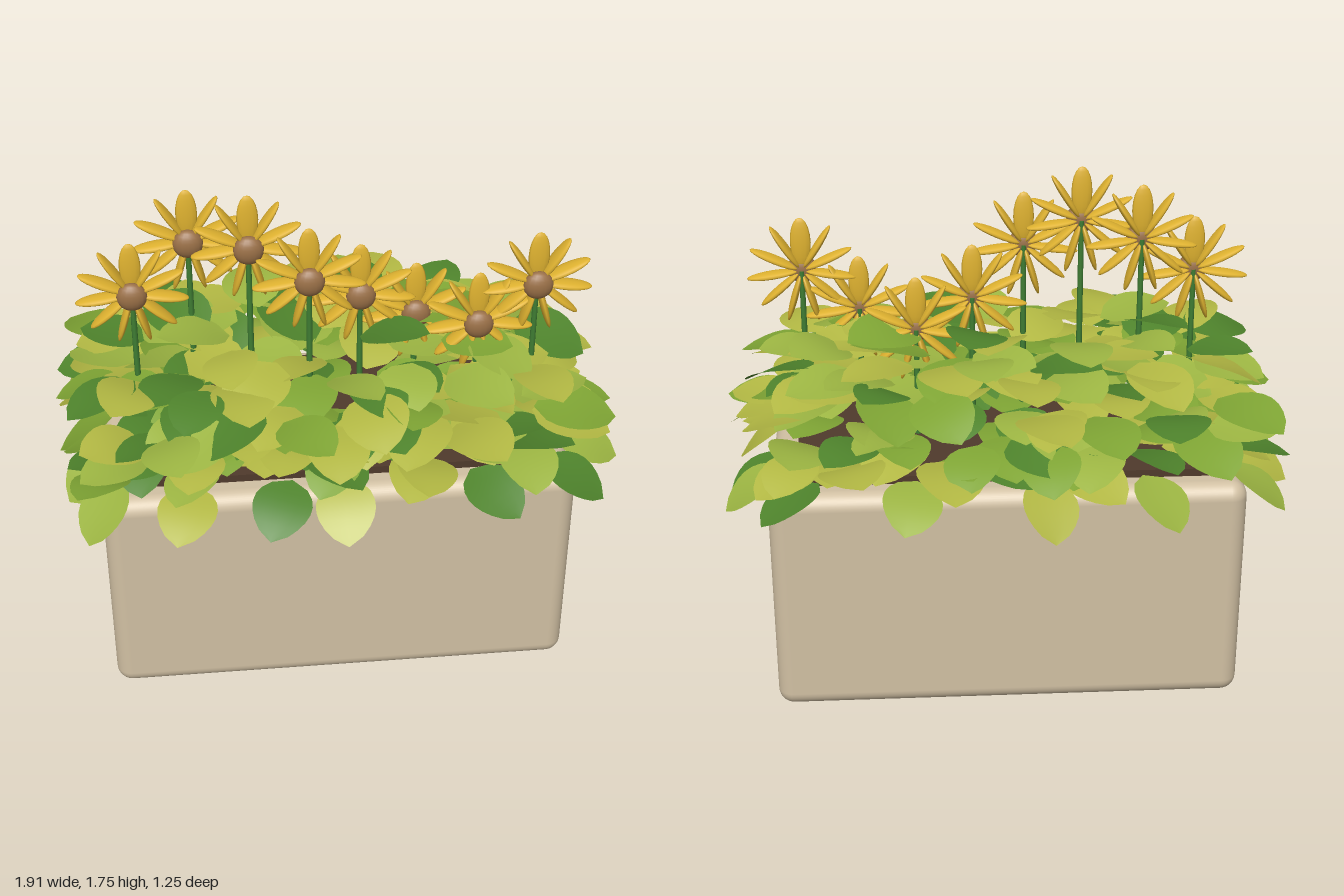
import * as THREE from 'three';
import { RoundedBoxGeometry } from 'three/addons/geometries/RoundedBoxGeometry.js';

const mat = (color, side = THREE.FrontSide) => new THREE.MeshStandardMaterial({ color, side });

function mesh(name, geometry, material, x = 0, y = 0, z = 0) {
  const m = new THREE.Mesh(geometry, material);
  m.name = name;
  m.position.set(x, y, z);
  return m;
}

function seeded(seed) {
  return () => {
    seed = (seed * 1664525 + 1013904223) % 4294967296;
    return seed / 4294967296;
  };
}

// Broad pointed leaf, growing along +z from its base, with a shallow fold and a drooping tip
function leafGeometry() {
  const g = new THREE.PlaneGeometry(2, 1, 4, 8);
  const p = g.attributes.position;
  for (let i = 0; i < p.count; i++) {
    const t = 0.5 - p.getY(i);
    const s = p.getX(i);
    const halfWidth = 0.41 * Math.pow(Math.sin(Math.PI * Math.pow(t, 0.88)), 0.65) || 0;
    p.setXYZ(i, s * halfWidth, 0.07 * Math.sin(Math.PI * t) + 0.05 * s * s * halfWidth, t);
  }
  g.computeVertexNormals();
  return g;
}

// Flower facing +z: eleven petals, the upright one turned flat to the front
function createFlower(parts) {
  const flower = new THREE.Group();
  flower.name = 'flower';
  const count = 11;
  for (let i = 0; i < count; i++) {
    const spoke = new THREE.Group();
    spoke.name = 'petalSpoke';
    spoke.rotation.z = (i / count) * Math.PI * 2;
    const petal = mesh('petal', parts.petalGeo, parts.petalMat, 0, 0.1, 0);
    if (i === 0) petal.rotation.y = Math.PI / 2;
    spoke.add(petal);
    flower.add(spoke);
  }
  flower.add(mesh('flowerCentre', parts.centreGeo, parts.centreMat, 0, 0, 0.02));
  return flower;
}

export function createModel() {
  const model = new THREE.Group();
  model.name = 'flowerPlanter';

  // Rounded planter with a soil slab on top
  model.add(mesh('planterBox', new RoundedBoxGeometry(1.58, 0.81, 0.86, 5, 0.055), mat(0xd1c0a3), 0.01, 0.405, -0.02));
  model.add(mesh('soil', new THREE.BoxGeometry(1.4, 0.06, 0.68), mat(0x503a2c), 0.01, 0.807, -0.02));

  // Foliage: leaves spread over the soil in a low mound, pointing outwards
  const rnd = seeded(41);
  const leafGeo = leafGeometry();
  const leafMats = [0x4f842c, 0x7fa534, 0x9cb542, 0xb2b843].map(c => mat(c, THREE.DoubleSide));
  const foliage = new THREE.Group();
  foliage.name = 'foliage';
  const addLeaf = (x, y, z, yaw, tilt, length) => {
    const leaf = mesh('leaf', leafGeo, leafMats[Math.floor(rnd() * leafMats.length)], x, y, z);
    leaf.rotation.set(tilt, yaw, (rnd() - 0.5) * 0.5, 'YXZ');
    leaf.scale.setScalar(length);
    foliage.add(leaf);
  };
  const nx = 20, nz = 11;
  for (let i = 0; i < nx; i++) {
    for (let j = 0; j < nz; j++) {
      const u = ((i + rnd()) / nx) * 2 - 1;
      const v = ((j + rnd()) / nz) * 2 - 1;
      const height = 0.36 * (1 - 0.4 * v * v - 0.3 * u ** 4);
      const yaw = Math.atan2(u * 0.9, v) + (rnd() - 0.5) * 1.8;
      addLeaf(u * 0.72, 0.87 + height * rnd(), v * 0.38, yaw, (rnd() - 0.5) * 0.6 + 0.05, 0.22 + rnd() * 0.06);
    }
  }
  // Drooping leaves around the rim
  for (let i = 0; i < 18; i++) {
    const a = ((i + rnd() * 0.6) / 18) * Math.PI * 2;
    const x = 0.01 + 0.74 * Math.max(-1, Math.min(1, Math.sin(a) * 1.3));
    const z = -0.02 + 0.4 * Math.max(-1, Math.min(1, Math.cos(a) * 1.3));
    addLeaf(x, 0.85, z, a + (rnd() - 0.5) * 0.6, 0.3 + rnd() * 0.5, 0.24);
  }
  model.add(foliage);

  // Row of flowers on straight stems
  const parts = {
    petalGeo: new THREE.SphereGeometry(1, 12, 10).scale(0.012, 0.087, 0.035),
    petalMat: mat(0xe0b330),
    centreGeo: new THREE.SphereGeometry(1, 16, 12).scale(0.05, 0.05, 0.03),
    centreMat: mat(0x9a7047),
  };
  const stemMat = mat(0x3f7d33);
  const heads = [
    [-0.64, 1.39, 0.04], [-0.45, 1.53, -0.04], [-0.26, 1.56, 0.07], [-0.07, 1.46, 0.12],
    [0.11, 1.32, 0], [0.3, 1.22, -0.03], [0.49, 1.25, 0.1], [0.68, 1.39, 0.1],
  ];
  for (const [x, y, z] of heads) {
    const flower = createFlower(parts);
    flower.position.set(x, y, z);
    const length = y - 0.82;
    flower.add(mesh('stem', new THREE.CylinderGeometry(0.009, 0.011, length, 8), stemMat, 0, -length / 2, -0.005));
    model.add(flower);
  }
  return model;
}
